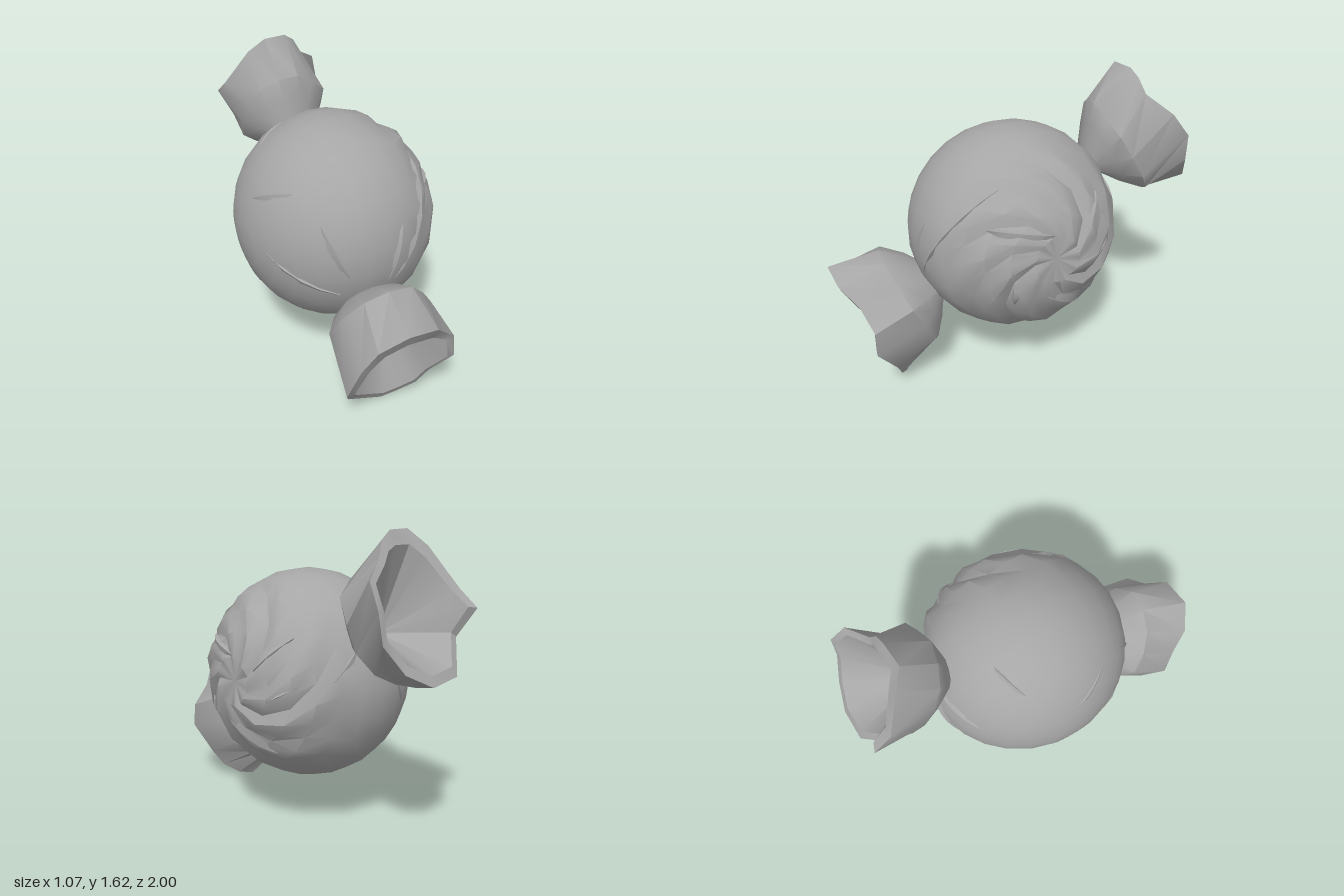
import * as THREE from 'three';
import { toCreasedNormals } from 'three/addons/utils/BufferGeometryUtils.js';

const V = (x, y, z) => new THREE.Vector3(x, y, z);
const CENTRE = V(0, 0.815, -0.005);
const RADII = V(0.535, 0.567, 0.567);
const onBody = (d, r) => d.clone().normalize().multiplyScalar(r).multiply(RADII).add(CENTRE);

function meshFrom(points, index, material, name, crease) {
  let g = new THREE.BufferGeometry().setFromPoints(points);
  g.setIndex(index);
  g = toCreasedNormals(g, crease);
  const m = new THREE.Mesh(g, material);
  m.name = name;
  return m;
}

// Round body whose grid lines spiral around a gathered point on the +x side
function makeBody(material) {
  const COLS = 27, ROWS = 14;
  const pole = V(1, 0.06, -0.13).normalize();
  const turn = new THREE.Quaternion().setFromUnitVectors(V(1, 0, 0), pole);
  const depths = [0.045, 0.015, 0.035, 0.02, 0.045, 0.012, 0.03, 0.04, 0.018];
  const pts = [], idx = [];
  for (let i = 0; i <= ROWS; i++) {
    const theta = Math.PI * i / ROWS;
    const fade = Math.sin(Math.min(theta / 1.3, 1) * Math.PI);
    for (let j = 0; j < COLS; j++) {
      const phi = j / COLS * Math.PI * 2 + 1.7 * Math.min(theta, 1.1);
      const pleat = depths[Math.floor(j / 3)] * [-1, 0, 0.6][j % 3];
      const r = 1.003 + fade * pleat - 0.07 * Math.exp(-theta * 9);
      const d = V(Math.cos(theta), Math.sin(theta) * Math.sin(phi), -Math.sin(theta) * Math.cos(phi));
      pts.push(onBody(d.applyQuaternion(turn), r));
    }
  }
  for (let i = 0; i < ROWS; i++) for (let j = 0; j < COLS; j++) {
    const k = (j + 1) % COLS, a = i * COLS + j, b = i * COLS + k, c = a + COLS, d = b + COLS;
    if (i > 0) idx.push(a, c, b);
    if (i < ROWS - 1) idx.push(b, c, d);
  }
  return meshFrom(pts, idx, material, 'candyBody', 0.62);
}

// Flared wrapper end: oval rings out to an uneven rim, a turned-in lip, then a funnel down to the throat
function makeFlare(rings, rim, throat, start, front, material, name) {
  const n = rim.length, pts = [], idx = [];
  for (const { c, v, rx } of rings) for (let j = 0; j < n; j++) {
    const t = start + j / n * Math.PI * 2;
    const ripple = 1 + 0.05 * Math.sin(j * 2.6);
    pts.push(V(c[0] + Math.sin(t) * rx * ripple, c[1] + Math.cos(t) * v[0] * ripple, c[2] + Math.cos(t) * v[1] * ripple));
  }
  const edge = rim.map(p => V(...p));
  const middle = edge.reduce((sum, p) => sum.add(p), V(0, 0, 0)).divideScalar(n);
  const lip = edge.map((p, j) => p.clone().lerp(middle, 0.13 + 0.1 * Math.max(0, Math.cos(j / n * Math.PI * 2))));
  pts.push(...edge, ...lip, ...lip.map(p => V(...throat).lerp(p, 0.06)));
  for (let i = 0; i < rings.length + 2; i++) for (let j = 0; j < n; j++) {
    const k = (j + 1) % n, a = i * n + j, b = i * n + k, c = a + n, d = b + n;
    if (front) idx.push(a, c, b, b, c, d);
    else idx.push(a, b, c, b, d, c);
  }
  return meshFrom(pts, idx, material, name, 0.7);
}

// Crease along an arc of the body: a gentle slope on one side and a steep step on the other
function makeFold(from, to, width, material) {
  const STEPS = 6, a = V(...from).normalize(), b = V(...to).normalize();
  const pts = [], idx = [];
  for (let s = 0; s <= STEPS; s++) {
    const d = a.clone().lerp(b, s / STEPS).normalize();
    const side = b.clone().sub(a).cross(d).normalize();
    const w = 0.004 + width * Math.sin(Math.PI * s / STEPS);
    pts.push(onBody(d.clone().addScaledVector(side, -w * 1.6), 0.985),
      onBody(d, 0.99 + w * 0.55), onBody(d.clone().addScaledVector(side, w * 0.4), 0.98));
    if (s < STEPS) {
      const k = s * 3;
      idx.push(k, k + 1, k + 3, k + 1, k + 4, k + 3, k + 1, k + 2, k + 4, k + 2, k + 5, k + 4);
    }
  }
  return meshFrom(pts, idx, material, 'wrapperFold', 0.5);
}

export function createModel() {
  const group = new THREE.Group();
  const wrapper = new THREE.MeshStandardMaterial({ color: 0xa6a6a6 });
  wrapper.name = 'greyWrapper';
  wrapper.side = THREE.DoubleSide;

  group.add(makeBody(wrapper));

  // Front end opens forward and down
  group.add(makeFlare([
    { c: [0, 0.53, 0.45], v: [0.1, 0.045], rx: 0.13 },
    { c: [0, 0.51, 0.51], v: [0.19, 0.09], rx: 0.21 },
    { c: [0, 0.48, 0.59], v: [0.28, 0.14], rx: 0.27 },
  ], [
    [-0.06, 0.69, 1.0], [0.11, 0.66, 0.97], [0.19, 0.56, 0.88], [0.3, 0.46, 0.83],
    [0.31, 0.33, 0.83], [0.24, 0.17, 0.72], [0.18, 0.08, 0.69], [0.09, 0.02, 0.65],
    [0, 0.0, 0.64], [-0.23, 0.14, 0.72], [-0.29, 0.27, 0.83], [-0.24, 0.45, 0.88], [-0.19, 0.6, 0.95],
  ], [0.01, 0.54, 0.52], -0.1, true, wrapper, 'frontWrapperEnd'));

  // Back end opens backward and up
  group.add(makeFlare([
    { c: [-0.04, 1.11, -0.48], v: [0.08, 0.05], rx: 0.12 },
    { c: [-0.04, 1.14, -0.55], v: [0.18, 0.10], rx: 0.19 },
    { c: [-0.04, 1.17, -0.63], v: [0.27, 0.16], rx: 0.25 },
  ], [
    [-0.13, 1.62, -0.64], [0, 1.62, -0.67], [0.06, 1.58, -0.69], [0.1, 1.5, -0.72], [0.23, 1.42, -0.82],
    [0.25, 1.3, -0.91], [0.23, 1.15, -0.92], [0.14, 1.02, -0.97], [0, 0.95, -1.0],
    [-0.17, 0.97, -0.97], [-0.28, 1.12, -0.84], [-0.35, 1.26, -0.9], [-0.33, 1.34, -0.8], [-0.21, 1.54, -0.7],
  ], [-0.03, 1.12, -0.56], -0.3, false, wrapper, 'backWrapperEnd'));

  // Creases radiating from the necks, across the smooth side and around the swirl
  const folds = [
    [[-0.22, -0.2, 0.95], [-0.5, 0.4, 0.77], 0.04],
    [[0.12, -0.3, 0.94], [0.3, 0.32, 0.9], 0.04],
    [[0.2, -0.3, 0.93], [0.65, 0.68, 0.33], 0.05],
    [[-0.2, -0.36, 0.9], [-0.93, 0.05, 0.36], 0.045],
    [[-0.6, 0.58, 0.55], [-0.93, 0.38, 0.1], 0.04],
    [[-0.1, 0.4, -0.89], [-0.7, 0.25, -0.66], 0.045],
    [[-0.1, 0.35, -0.92], [-0.5, -0.2, -0.84], 0.045],
    [[0.1, 0.4, -0.9], [0.4, 0.1, -0.9], 0.035],
    [[-0.7, 0.65, -0.2], [-0.3, 0.85, -0.42], 0.035],
    [[0.95, 0.3, -0.1], [0.79, 0.38, 0.48], 0.05],
    [[0.89, 0.2, -0.39], [0.6, 0.5, -0.62], 0.045],
    [[0.89, -0.11, -0.44], [0.64, 0.11, -0.76], 0.045],
    [[0.95, -0.29, 0], [0.64, -0.59, -0.49], 0.05],
    [[0.94, -0.17, 0.28], [0.89, -0.38, 0.26], 0.04],
  ];
  folds.forEach(([a, b, w]) => group.add(makeFold(a, b, w, wrapper)));
  return group;
}
